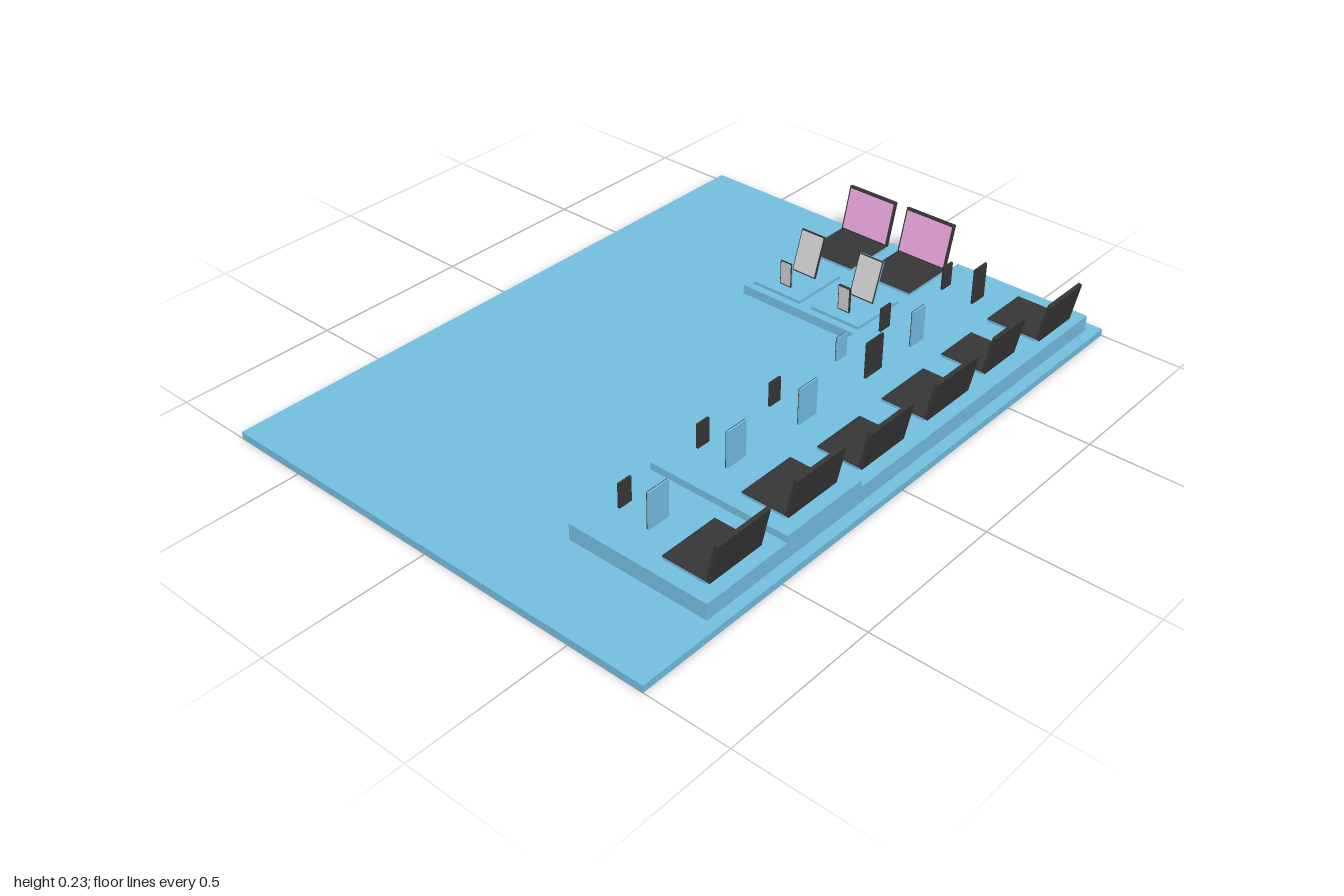
import * as THREE from 'three';

const mats = {};
function mat(color) {
  return (mats[color] ??= new THREE.MeshStandardMaterial({ color, flatShading: true }));
}
const BLUE = 0x74bfe0, DARK = 0x363636, GREY = 0xbcbcbc;
const PINK = 0xe6a4d8, ORANGE = 0xe86030, RED = 0xd84440;

// Box given by its ranges along each axis
function box(name, color, [x0, x1], [y0, y1], [z0, z1]) {
  const geo = new THREE.BoxGeometry(x1 - x0, y1 - y0, z1 - z0);
  geo.translate((x0 + x1) / 2, (y0 + y1) / 2, (z0 + z1) / 2);
  const mesh = new THREE.Mesh(geo, mat(color));
  mesh.name = name;
  return mesh;
}

// Open laptop: hinge at the local origin, keyboard towards local +z
function laptop(w, d, h, tilt, color) {
  const g = new THREE.Group();
  g.name = 'laptop';
  const s = w / 2;
  g.add(box('laptopBody', BLUE, [-s, s], [0, 0.008], [0, d]));
  g.add(box('keyboard', DARK, [-s, s], [0.008, 0.011], [0, d]));
  const lid = new THREE.Group();
  lid.name = 'laptopLid';
  lid.position.y = 0.008;
  lid.rotation.x = -tilt;
  lid.add(box('lidShell', DARK, [-s, s], [0, h], [-0.012, 0]));
  lid.add(box('laptopScreen', color, [-s + 0.005, s - 0.005], [0.008, h - 0.008], [0, 0.0015]));
  g.add(lid);
  return g;
}

// Upright tablet or phone, screen towards local +z
function slate(name, w, h, tilt, back) {
  const g = new THREE.Group();
  g.name = name;
  const s = w / 2;
  g.add(box('case', back, [-s, s], [0, h], [-0.004, 0.001]));
  g.add(box('bezel', DARK, [-s, s], [0, h], [0.001, 0.003]));
  g.add(box('screen', GREY, [-s + 0.003, s - 0.003], [0.004, h - 0.004], [0.003, 0.004]));
  g.rotation.x = -tilt;
  return g;
}

export function createModel() {
  const root = new THREE.Group();
  root.name = 'deviceDisplay';
  const place = (obj, x, y, z, turn = 0) => {
    const holder = new THREE.Group();
    holder.name = obj.name + 'Holder';
    holder.position.set(x, y, z);
    holder.rotation.y = turn;
    holder.add(obj);
    root.add(holder);
  };

  // Floor and stepped platforms
  root.add(box('floor', BLUE, [-0.74, 0.74], [0, 0.022], [-1, 1]));
  root.add(box('longPlatform', BLUE, [0.25, 0.705], [0.022, 0.073], [-0.96, 0.74]));
  root.add(box('raisedStep', BLUE, [0.25, 0.705], [0.073, 0.095], [0.14, 0.44]));
  root.add(box('sidePlatform', BLUE, [-0.185, 0.25], [0.022, 0.052], [-0.96, -0.455]));

  // Side platform: two laptops, each with a tablet and phone on a tray
  for (const [x, back] of [[-0.077, DARK], [0.142, BLUE]]) {
    root.add(box('tray', BLUE, [x - 0.088, x + 0.088], [0.052, 0.062], [-0.68, -0.48]));
    place(laptop(0.175, 0.18, 0.148, 0.25, PINK), x, 0.052, -0.915);
    place(slate('tablet', 0.086, 0.134, 0.32, back), x, 0.062, -0.612);
    place(slate('phone', 0.042, 0.083, 0, back === DARK ? BLUE : DARK), x, 0.062, -0.525);
  }

  // Long platform: rows of laptop, tablet and phone facing -x
  // z, platform height, laptop width, laptop depth, hinge x, screen, tablet back, phone back
  const rows = [
    [-0.822, 0.073, 0.165, 0.165, 0.668, ORANGE, DARK, DARK],
    [-0.57, 0.073, 0.15, 0.135, 0.645, PINK, BLUE, DARK],
    [-0.302, 0.073, 0.195, 0.14, 0.655, PINK, DARK, BLUE],
    [-0.005, 0.073, 0.185, 0.135, 0.655, ORANGE, BLUE, DARK],
    [0.292, 0.095, 0.195, 0.14, 0.655, RED, BLUE, DARK],
    [0.59, 0.073, 0.195, 0.14, 0.655, PINK, BLUE, DARK],
  ];
  rows.forEach(([z, y, w, d, x, screen, tabletBack, phoneBack], i) => {
    const zs = i === 1 ? -0.51 : z;
    place(laptop(w, d, 0.128, 0.2, screen), x, y, z, -Math.PI / 2);
    place(slate('tablet', i < 2 ? 0.06 : 0.075, 0.115, 0, tabletBack), 0.413, y, zs, -Math.PI / 2);
    place(slate('phone', 0.045, 0.077, 0, phoneBack), 0.3, y, zs, -Math.PI / 2);
  });
  return root;
}
